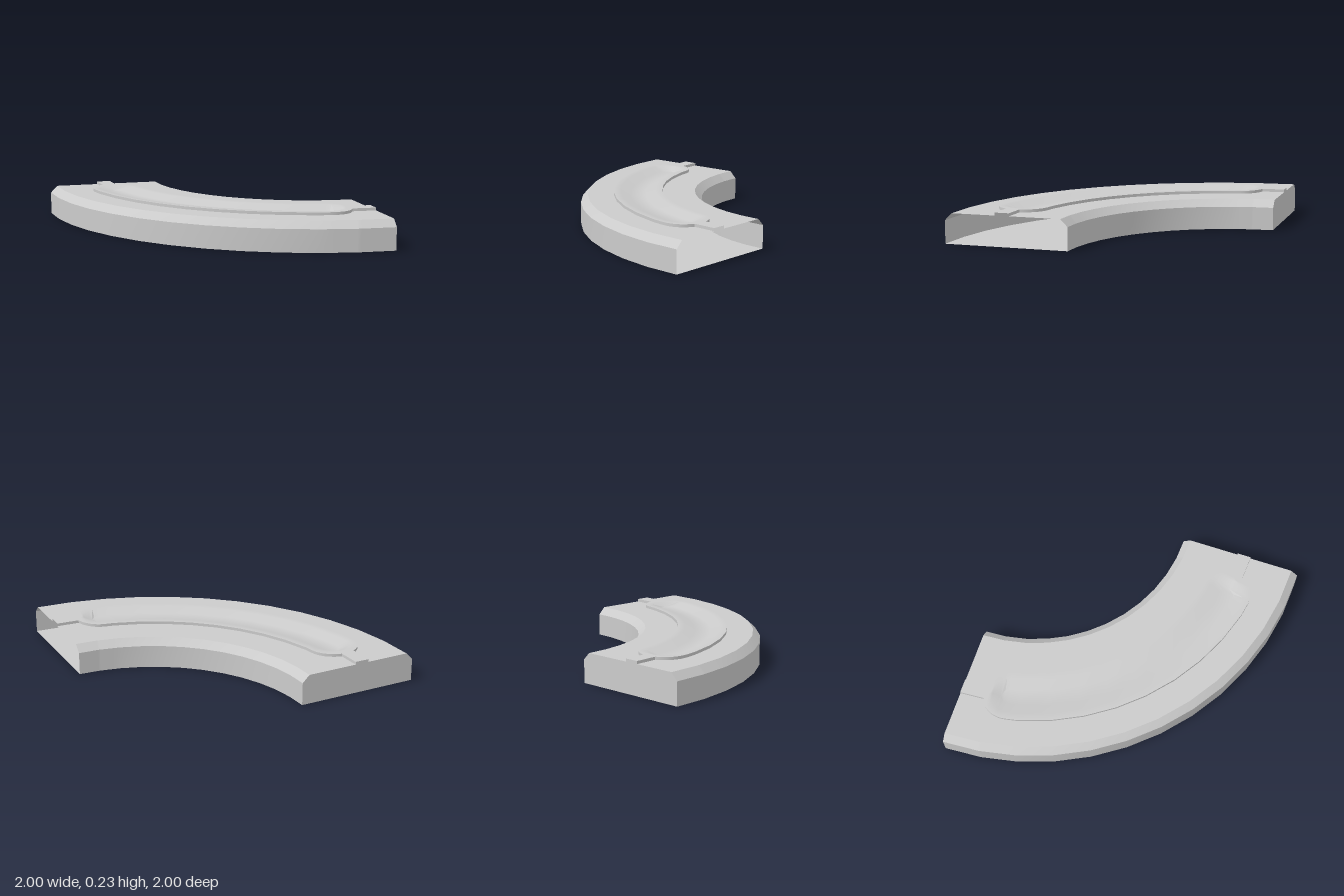
import * as THREE from 'three';
import { toCreasedNormals } from 'three/addons/utils/BufferGeometryUtils.js';

const DEG = Math.PI / 180;
const STEP = 7.5 * DEG; // quarter ring in 12 facets
const MID = 1.59; // radius of the raised track's centre line
const END = 12 * DEG; // where the rounded track ends begin
const PLATE = 0.175, STRIP = 0.05, RIM = 0.125, FLOOR = 0.055;
const DECK_Y = 0.21, PLATE_Y = 0.23, FLOOR_Y = 0.2;

const material = new THREE.MeshStandardMaterial({ color: 0xcccccc, side: THREE.DoubleSide });

// Point on the faceted ring; angle 0 is the +x end, 90 degrees the -z end
function ringPoint(angle, r, y) {
  const middle = (Math.floor(angle / STEP + 1e-6) + 0.5) * STEP;
  const k = (r * Math.cos(STEP / 2)) / Math.cos(angle - middle);
  return [1 - k * Math.sin(angle), y, -1 + k * Math.cos(angle)];
}

// Facet corners plus extra rows around the rounded track ends
function sweepAngles() {
  const all = [];
  for (let i = 0; i <= 12; i++) all.push(i * STEP);
  for (const s of [0, 0.03, 0.055, 0.08, 0.1, 0.115, 0.14, 0.155, 0.163, 0.168]) {
    const a = END - s / MID;
    all.push(a, Math.PI / 2 - a);
  }
  all.sort((a, b) => a - b);
  return all.filter((a, i) => i === 0 || a - all[i - 1] > 0.0005);
}

// Half-widths of plate, groove rim and groove floor at an angle
function trackAt(angle) {
  const s = Math.max(0, END - Math.min(angle, Math.PI / 2 - angle)) * MID;
  const half = (a) => Math.sqrt(Math.max(0, a * a - s * s));
  const rise = THREE.MathUtils.clamp((s - FLOOR) / (RIM - FLOOR), 0, 1);
  return {
    p: Math.max(STRIP, half(PLATE)),
    g: half(RIM),
    f: half(FLOOR),
    y: FLOOR_Y + (PLATE_Y - FLOOR_Y) * rise,
  };
}

// Cross-sections as [radius, height], ordered from the outside inward
const sections = {
  outerWall: () => [[2, 0], [2, 0.16], [1.95, DECK_Y]],
  outerDeck: (a) => [[1.95, DECK_Y], [MID + trackAt(a).p, DECK_Y]],
  groovedPlate: (a) => {
    const { p, g, f, y } = trackAt(a);
    return [
      [MID + p, DECK_Y], [MID + p, PLATE_Y], [MID + g, PLATE_Y], [MID + f, y],
      [MID - f, y], [MID - g, PLATE_Y], [MID - p, PLATE_Y], [MID - p, DECK_Y],
    ];
  },
  innerDeck: (a) => [[MID - trackAt(a).p, DECK_Y], [1.18, DECK_Y]],
  innerWall: () => [[1.18, DECK_Y], [1.13, 0.16], [1.13, 0]],
  bottom: () => [[1.13, 0], [2, 0]],
};

// Sweep a changing cross-section around the quarter ring
function sweep(section, angles) {
  const rows = angles.map((a) => section(a).map(([r, y]) => ringPoint(a, r, y)));
  const n = rows[0].length;
  const index = [];
  for (let i = 0; i < rows.length - 1; i++) {
    for (let j = 0; j < n - 1; j++) {
      const a = i * n + j, b = a + 1, c = a + n, d = c + 1;
      index.push(a, b, c, b, d, c);
    }
  }
  const geometry = new THREE.BufferGeometry();
  geometry.setAttribute('position', new THREE.Float32BufferAttribute(rows.flat(2), 3));
  geometry.setIndex(index);
  return toCreasedNormals(geometry, 30 * DEG);
}

export function createModel() {
  const group = new THREE.Group();
  group.name = 'curvedTrack';
  const add = (name, geometry) => {
    const mesh = new THREE.Mesh(geometry, material);
    mesh.name = name;
    group.add(mesh);
    return mesh;
  };

  const angles = sweepAngles();
  for (const [name, section] of Object.entries(sections)) add(name, sweep(section, angles));

  // Closed end at the back; the other end stays open
  const outline = [
    [2, 0], [2, 0.16], [1.95, DECK_Y], [MID + STRIP, DECK_Y], [MID + STRIP, PLATE_Y],
    [MID - STRIP, PLATE_Y], [MID - STRIP, DECK_Y], [1.18, DECK_Y], [1.13, 0.16], [1.13, 0],
  ].map(([r, y]) => new THREE.Vector2(r - 1, y));
  const cap = add('endCap', new THREE.ShapeGeometry(new THREE.Shape(outline)));
  cap.rotation.y = Math.PI;
  cap.position.z = -1;

  return group;
}
